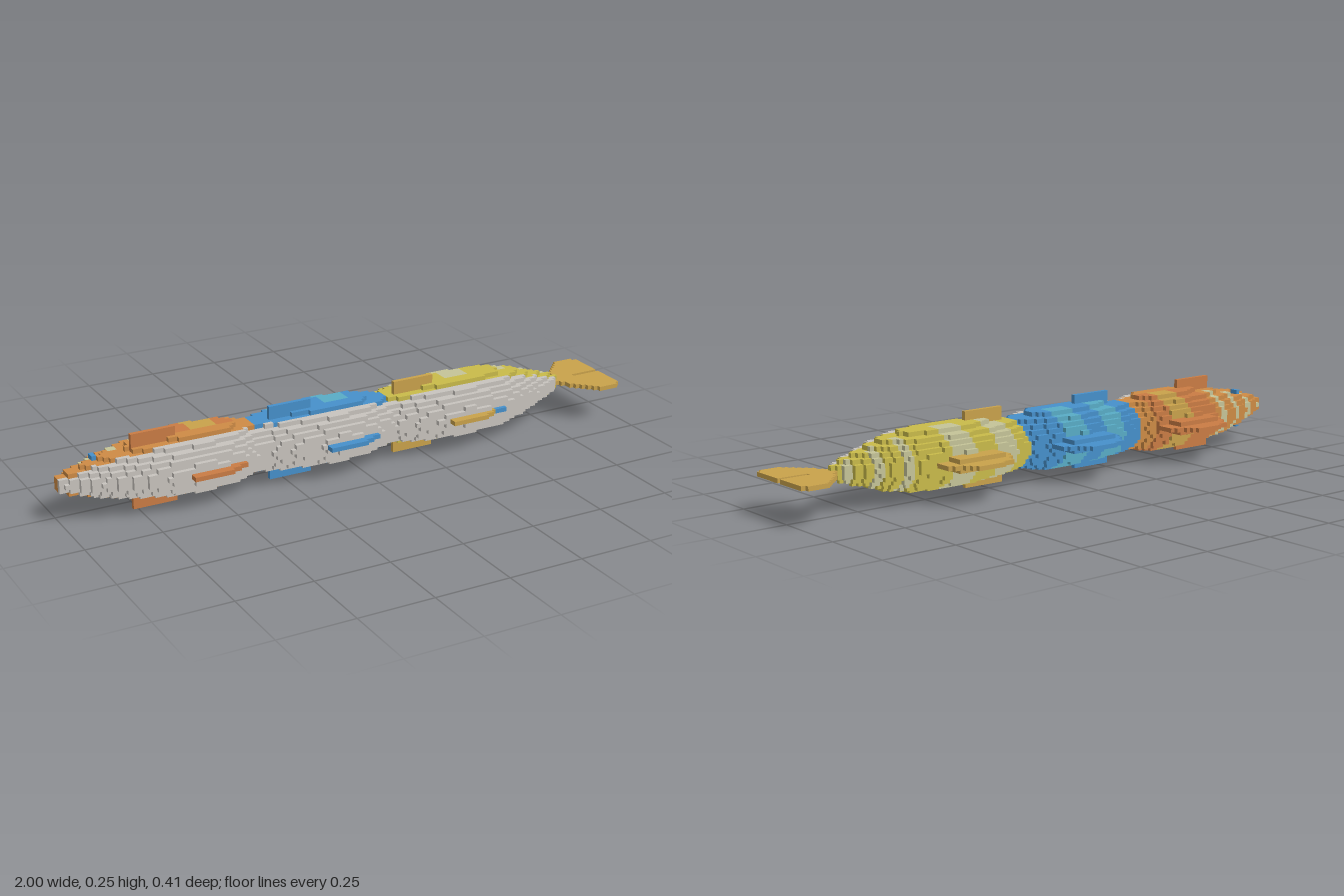
import * as THREE from 'three';

const U = 2 / 136;              // cell size; grid is 136 x 17 x 28 cells
const CY = 8, CZ = 16;          // body axis in cells

const mat = (name, color) => {
  const m = new THREE.MeshStandardMaterial({ color });
  m.name = name;
  return m;
};

// Body sections: [x, half width in z, half height in y], in cells
const SECTIONS = [
  [0, 1.5, 1.5], [8, 4.9, 3.8], [16, 7.8, 5.1], [22, 9.2, 6], [30, 9.6, 6.6], [38, 8.8, 6.5],
  [44, 6.4, 5.2], [50, 8, 6], [62, 9.6, 6.6], [70, 8.8, 6.4], [76.5, 7, 5.2], [86, 9, 6.2],
  [95, 9.6, 6.6], [105, 8.6, 6.3], [112, 6.5, 5], [118, 4.2, 3.2], [124, 1.2, 1.2],
];
function section(x) {
  let i = 1;
  while (i < SECTIONS.length - 1 && SECTIONS[i][0] < x) i++;
  const a = SECTIONS[i - 1], b = SECTIONS[i];
  const t = (x - a[0]) / (b[0] - a[0]);
  return [a[1] + (b[1] - a[1]) * t, a[2] + (b[2] - a[2]) * t];
}

export function createModel() {
  const M = {
    grey: mat('bellyGrey', 0xc8c4be),
    orange: mat('orange', 0xce8b45),
    burnt: mat('burntOrange', 0xca7c44),
    gold: mat('gold', 0xc9a24b),
    blue: mat('blue', 0x4690cb),
    teal: mat('teal', 0x58acc6),
    yellow: mat('yellow', 0xc9bb4a),
    khaki: mat('khaki', 0xc5c498),
  };
  const cells = new Map();
  const key = (x, y, z) => (x * 64 + y + 8) * 64 + z + 8;
  const put = (part, color, x, y, z) => cells.set(key(x, y, z), { part, color, x, y, z });

  // Back colour of each of the three body segments
  const OFFSETS = [0, 32, 63];
  const backColor = (seg, x, z) => {
    const u = x - OFFSETS[seg];
    const band = z <= CZ && ((u >= 18 && u < 24) || (u >= 30 && u < 36));
    if (seg === 1) return band ? 'teal' : 'blue';
    if (seg === 2) {
      if (x > 104 && z < CZ) return (x >> 1) % 3 === 0 ? 'khaki' : 'yellow';
      return band ? 'khaki' : 'yellow';
    }
    if (u < 20 && z < CZ - 1) return (x >> 1) % 3 === 0 ? 'khaki' : 'orange';
    if (z <= CZ && u >= 30 && u < 36) return 'gold';
    return z <= CZ && u >= 22 && u < 40 ? 'burnt' : 'orange';
  };

  // Three-segment body with a grey belly
  const segNames = ['frontBody', 'middleBody', 'rearBody'];
  for (let x = 0; x < 124; x++) {
    const [hz, hy] = section(x + 0.5);
    const seg = x < 44 ? 0 : x < 77 ? 1 : 2;
    for (let y = 0; y < 17; y++) for (let z = 5; z < 28; z++) {
      const dy = (y - CY) / hy, dz = (z - CZ) / hz;
      if (dy * dy + dz * dz > 1) continue;
      put(segNames[seg], dz > 0.4 ? 'grey' : backColor(seg, x, z), x, y, z);
    }
  }

  // Fins, repeated on each segment
  const DORSAL = [6, 4, 3, 1, 1, 1, 0, 0, 0, 0, 0, 0, 0, 1, 2, 3, 3, 4];
  const finColors = ['burnt', 'blue', 'gold'];
  OFFSETS.forEach((o, i) => {
    const color = finColors[i];
    DORSAL.forEach((top, u) => {
      for (let z = top; z < 9; z++) put('dorsalFin', color, 22 + o + u, CY, z);
      // Thicker root
      if (u > 2 && u < 15) for (let z = 4; z < 8; z++) {
        for (const y of [CY - 1, CY + 1]) put('dorsalFin', color, 22 + o + u, y, z);
      }
    });
    for (let u = 0; u < 13; u++) {
      const end = u < 9 ? 27 : u < 11 ? 26 : 25;
      for (let z = 23; z <= end; z++) put('bellyFin', color, 26 + o + u, CY, z);
    }
    // Paired side fins
    for (let u = 0; u < 10; u++) for (let h = 4; h <= 8; h++) {
      for (const s of [-1, 1]) put('sideFin', color, 16 + o + u, CY + s * h, CZ + 1);
    }
  });

  // Blue tip behind the rear belly fin
  for (let x = 101; x < 104; x++) for (let z = 23; z < 26; z++) put('bellyFinTip', 'blue', x, CY, z);

  // Eyes
  for (const s of [-1, 1]) for (const h of [3, 4]) for (const z of [14, 15]) {
    put('eye', 'blue', 8, CY + s * h, z);
  }

  // Flat tail fan with a slot
  for (let x = 122; x < 136; x++) {
    const half = Math.min(9, Math.round((x - 122) * 1.2));
    for (let d = -half; d <= half; d++) {
      if (d === 0 && x >= 129) continue;
      if (x === 135 && Math.abs(d) === 9) continue;
      put('tailFin', 'gold', x, CY, CZ + d);
    }
  }

  // Collect exposed cell faces for each part and colour
  const buckets = new Map();
  for (const c of cells.values()) {
    const id = c.part + '|' + c.color;
    if (!buckets.has(id)) buckets.set(id, { part: c.part, color: c.color, pos: [], nor: [], idx: [] });
    const b = buckets.get(id);
    for (let axis = 0; axis < 3; axis++) for (const s of [-1, 1]) {
      const n = [0, 0, 0];
      n[axis] = s;
      if (cells.has(key(c.x + n[0], c.y + n[1], c.z + n[2]))) continue;
      const a1 = (axis + 1) % 3, a2 = (axis + 2) % 3, base = b.pos.length / 3;
      for (const [p, q] of [[0, 0], [1, 0], [1, 1], [0, 1]]) {
        const v = [c.x - 68, c.y, c.z - 14];
        v[axis] += s > 0 ? 1 : 0;
        v[a1] += p;
        v[a2] += q;
        b.pos.push(v[0] * U, v[1] * U, v[2] * U);
        b.nor.push(...n);
      }
      const order = s > 0 ? [0, 1, 2, 0, 2, 3] : [0, 2, 1, 0, 3, 2];
      b.idx.push(...order.map((k) => base + k));
    }
  }

  // One group per part, one mesh per colour
  const root = new THREE.Group();
  root.name = 'blockFish';
  const groups = {};
  for (const b of buckets.values()) {
    if (!b.idx.length) continue;
    if (!groups[b.part]) {
      groups[b.part] = new THREE.Group();
      groups[b.part].name = b.part;
      root.add(groups[b.part]);
    }
    const g = new THREE.BufferGeometry();
    g.setAttribute('position', new THREE.Float32BufferAttribute(b.pos, 3));
    g.setAttribute('normal', new THREE.Float32BufferAttribute(b.nor, 3));
    g.setIndex(b.idx);
    const mesh = new THREE.Mesh(g, M[b.color]);
    mesh.name = b.part + ' ' + b.color;
    groups[b.part].add(mesh);
  }
  return root;
}
